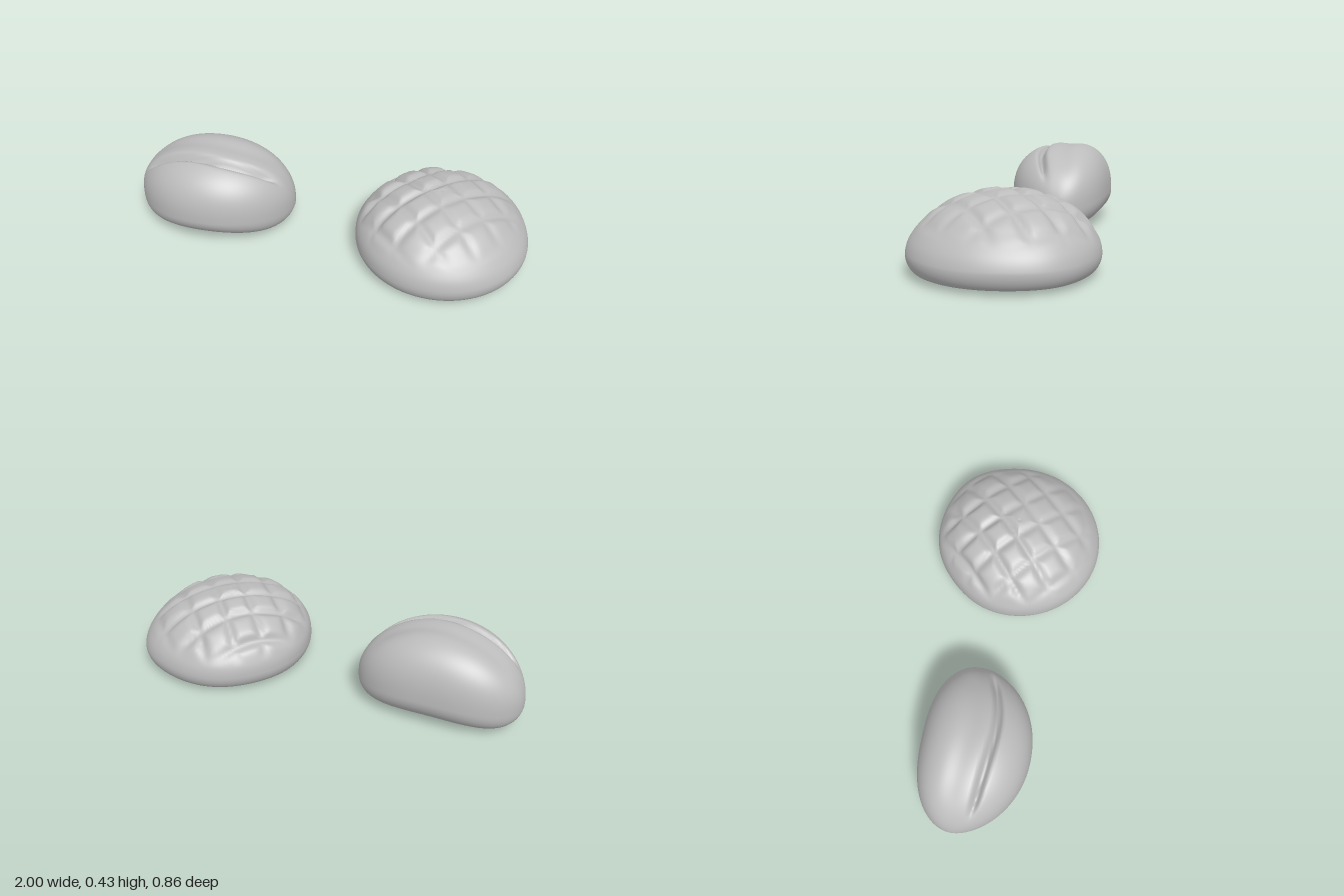
import * as THREE from 'three';
import { mergeVertices } from 'three/addons/utils/BufferGeometryUtils.js';

const smooth = THREE.MathUtils.smoothstep;
const bell = (v, width) => Math.exp(-((v / width) ** 2));

// Moves every vertex by a rule, then welds seams for smooth shading
function reshape(geometry, rule) {
  const pos = geometry.attributes.position, nor = geometry.attributes.normal;
  const p = new THREE.Vector3(), n = new THREE.Vector3();
  for (let i = 0; i < pos.count; i++) {
    p.fromBufferAttribute(pos, i);
    n.fromBufferAttribute(nor, i);
    rule(p, n);
    pos.setXYZ(i, p.x, p.y, p.z);
  }
  geometry.deleteAttribute('uv');
  geometry.deleteAttribute('normal');
  const welded = mergeVertices(geometry, 1e-5);
  welded.computeVertexNormals();
  return welded;
}

// Oval roll with a long split along its top
function splitRollGeometry() {
  const sphere = new THREE.SphereGeometry(1, 180, 72).rotateZ(Math.PI / 2);
  return reshape(sphere, (p) => {
    const u = Math.min(1, Math.abs(p.x));
    const a = Math.atan2(p.y, p.z), c = Math.cos(a), s = Math.sin(a);
    // superellipse cross-section: blunt above, tucked under at mid-length below
    const e = s > 0 ? 2.45 : 1.95 + 0.7 * u * u;
    const k = Math.pow(Math.abs(c) ** e + Math.abs(s) ** e, -1 / e);
    const waist = 0.13 + 0.035 * (1 - u * u);
    const depth = c > 0 ? 0.313 * (1 - u ** 2.1) ** 0.6 : 0.22 * (1 - u ** 2.6) ** 0.5;
    const height = s > 0
      ? 0.13 + 0.307 * (1 - u ** 2) ** 0.5 - waist
      : waist - 0.13 + 0.13 * (1 - u ** 5) ** 0.5;
    const z = -0.05 + c * k * depth;
    let y = waist + s * k * height;
    if (s > 0) {
      // split: a narrow cut below the raised back crust
      const d = z - (0.08 - 0.08 * u * u + 0.008 * Math.sin(p.x * 5));
      const fade = smooth(s, 0.25, 0.6) * (1 - smooth(u, 0.62, 0.92));
      y -= 0.045 * fade * bell(d, 0.017);
      // shallow hollow along the back crust
      y -= 0.008 * fade * bell(d + 0.12, 0.05);
    }
    p.set(-0.593 + p.x * 0.407, y, z);
  });
}

// Round loaf scored with a diagonal grid
function scoredLoafGeometry() {
  const half = [[0.37, 0.016], [0.4, 0.028], [0.42, 0.06], [0.425, 0.1], [0.412, 0.15],
    [0.38, 0.2], [0.345, 0.235], [0.29, 0.28], [0.2, 0.323], [0.1, 0.349], [0, 0.358]];
  const side = new THREE.SplineCurve(half.map(([r, y]) => new THREE.Vector2(r, y))).getPoints(80);
  side[side.length - 1].x = 0;
  const base = [[0, 0.004], [0.2, 0.008], [0.32, 0.012]].map(([r, y]) => new THREE.Vector2(r, y));
  const lathe = new THREE.LatheGeometry([...base, ...side], 144);
  const score = (v) => bell(v - Math.round(v), 0.16);
  return reshape(lathe, (p, n) => {
    const f = Math.min(1, Math.max(0, p.y - 0.1) / 0.17);
    const angle = Math.atan2(p.z, p.x);
    const { x, z } = p;
    // cuts bend slightly, and reach deeper and lower on the back right
    const v = (x * 0.74 + z * 0.67 + 0.02 * Math.sin(z * 7)) / 0.15 + 0.4;
    const w = (x * 0.67 - z * 0.74 + 0.02 * Math.sin(x * 6)) / 0.15 + 0.45;
    const cut = Math.max(score(v), 0.8 * score(w));
    const weak = Math.cos(angle - Math.PI / 4);
    const fade = smooth(p.y - 0.02 * weak, 0.17, 0.27) * (0.75 - 0.25 * weak);
    p.addScaledVector(n, fade * (0.009 - 0.026 * cut));
    // uneven outline: fuller at the back left, flatter at the back right
    const lump = 1 + 0.045 * bell(angle + Math.PI / 4, 0.4) - 0.025 * bell(angle + Math.PI * 0.75, 0.4);
    p.x = 0.575 + p.x * lump - 0.018 * f;
    p.z *= lump * 1.012;
  });
}

export function createModel() {
  const group = new THREE.Group();
  const crust = new THREE.MeshStandardMaterial({ color: 0xbcbcbc });
  crust.name = 'crust grey';
  const parts = { splitRoll: splitRollGeometry(), scoredLoaf: scoredLoafGeometry() };
  for (const [name, geometry] of Object.entries(parts)) {
    const mesh = new THREE.Mesh(geometry, crust);
    mesh.name = name;
    group.add(mesh);
  }
  return group;
}
